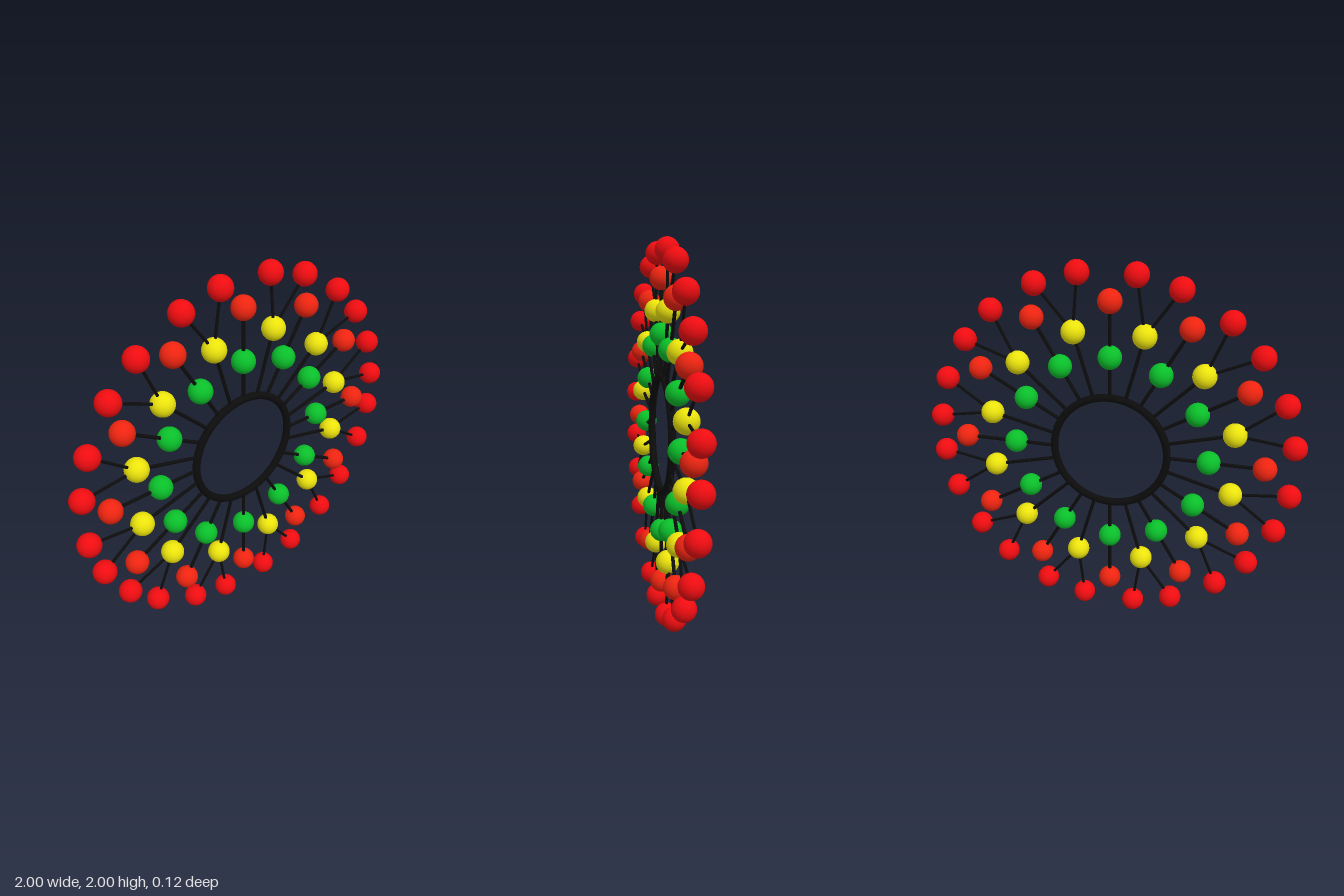
import * as THREE from 'three';

const CENTER_Y = 1;
const BALL_R = 0.061;
const paint = (color) => new THREE.MeshStandardMaterial({ color });

// Point on a circle in the upright plane, angle in degrees
const polar = (radius, deg) => {
  const a = THREE.MathUtils.degToRad(deg);
  return new THREE.Vector3(radius * Math.cos(a), radius * Math.sin(a), 0);
};

export function createModel() {
  const model = new THREE.Group();
  model.name = 'radialBurst';
  model.position.y = CENTER_Y;

  const black = paint(0x0c0c0c);
  const green = paint(0x0abf2a);
  const yellow = paint(0xebe30c);
  const orange = paint(0xee2410);
  const red = paint(0xee0c10);

  const ballGeometry = new THREE.SphereGeometry(BALL_R, 28, 18);
  const up = new THREE.Vector3(0, 1, 0);

  const addBall = (name, at, material) => {
    const ball = new THREE.Mesh(ballGeometry, material);
    ball.name = name;
    ball.position.copy(at);
    model.add(ball);
  };

  const addRod = (name, from, to, radius) => {
    const dir = to.clone().sub(from);
    const rod = new THREE.Mesh(new THREE.CylinderGeometry(radius, radius, dir.length(), 12), black);
    rod.name = name;
    rod.position.copy(from).add(to).multiplyScalar(0.5);
    rod.quaternion.setFromUnitVectors(up, dir.normalize());
    model.add(rod);
  };

  // Central ring
  const ring = new THREE.Mesh(new THREE.TorusGeometry(0.304, 0.02, 16, 72), black);
  ring.name = 'centralRing';
  model.add(ring);

  // Straight spokes: a green ball midway and an orange ball at the tip
  for (let i = 0; i < 12; i++) {
    const deg = i * 30;
    const tip = polar(0.803, deg);
    addRod('straightSpoke', polar(0.304, deg), tip, 0.009);
    addBall('greenBall', polar(0.52, deg), green);
    addBall('orangeBall', tip, orange);
  }

  // Forked spokes: [yellow ball angle, first tip angle, second tip angle]
  const forks = [
    [13.6, 6.5, 20.3], [42.7, 35.6, 49.3], [73.5, 66.2, 80.1],
    [105.2, 97.9, 111.4], [135.5, 128.5, 142.0], [165.2, 158.2, 171.9],
    [194.8, 188.4, 201.9], [223.5, 217.2, 231.0], [254.4, 248.2, 261.7],
    [286.0, 279.2, 293.1], [316.8, 310.1, 323.9], [346.4, 340.0, 353.8],
  ];
  for (const [deg, ...tips] of forks) {
    const joint = polar(0.664, deg);
    addRod('forkStem', polar(0.304, deg), joint, 0.009);
    addBall('yellowBall', joint, yellow);
    for (const tipDeg of tips) {
      const tip = polar(0.946, tipDeg);
      addRod('forkBranch', joint, tip, 0.0075);
      addBall('redBall', tip, red);
    }
  }

  const root = new THREE.Group();
  root.name = 'burstSculpture';
  root.add(model);
  return root;
}
